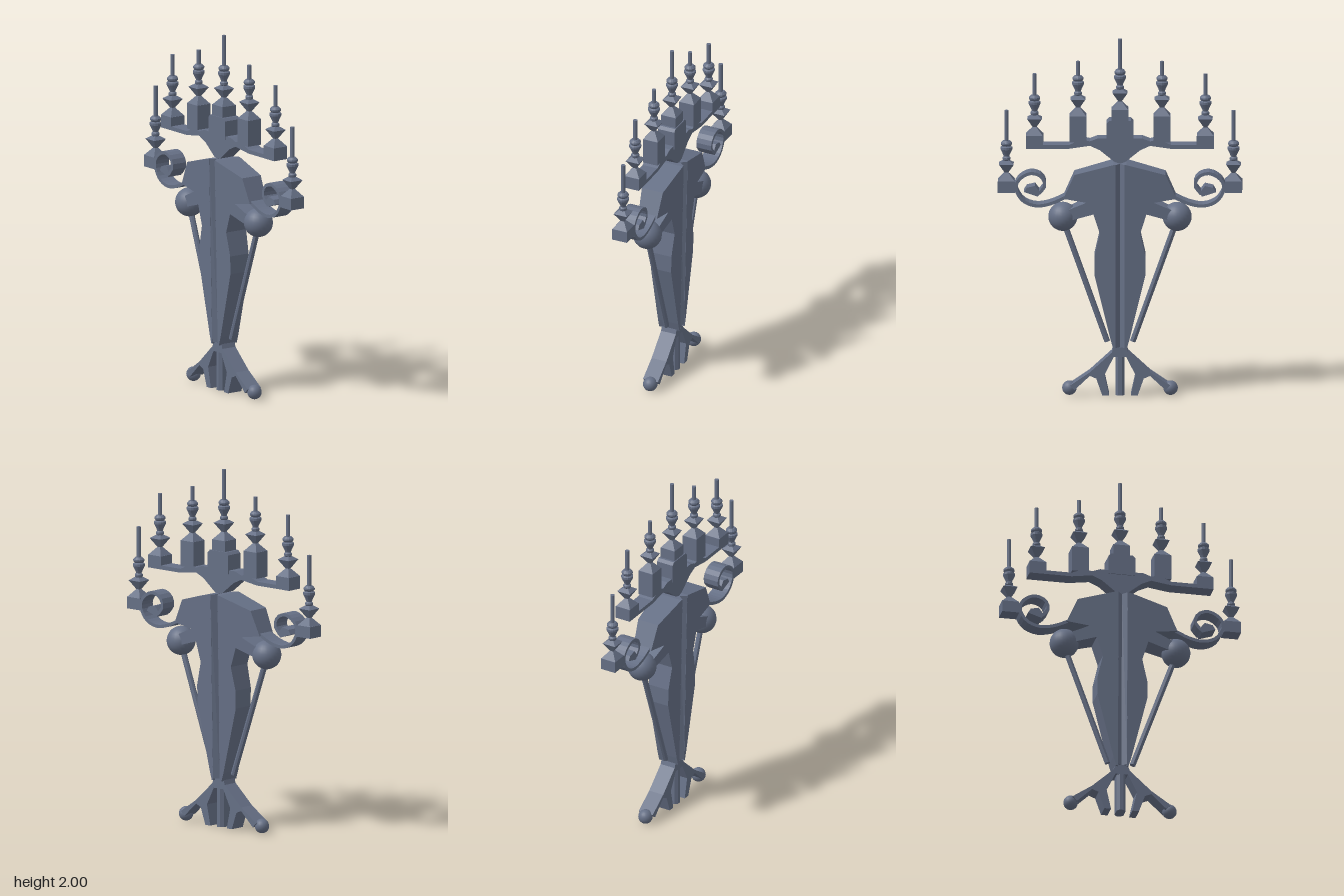
import * as THREE from 'three';

const flat = new THREE.MeshStandardMaterial({ color: 0x667086, flatShading: true });
const smooth = new THREE.MeshStandardMaterial({ color: 0x667086 });
const HALF = 0.045; // half depth of the flat metalwork

function add(parent, name, geometry, x = 0, y = 0, z = 0, material = flat) {
  const mesh = new THREE.Mesh(geometry, material);
  mesh.name = name;
  mesh.position.set(x, y, z);
  parent.add(mesh);
  return mesh;
}

// Outline extruded evenly to both sides of z = 0
function plate(points, half = HALF) {
  const shape = new THREE.Shape(points.map(([x, y]) => new THREE.Vector2(x, y)));
  return new THREE.ExtrudeGeometry(shape, { depth: 2 * half, bevelEnabled: false }).translate(0, 0, -half);
}

// Flat strip of constant thickness that follows a path
function ribbon(points, thickness) {
  const curve = new THREE.CatmullRomCurve3(points.map(([x, y]) => new THREE.Vector3(x, y, 0)));
  const outer = [], inner = [], n = 26;
  for (let i = 0; i <= n; i++) {
    const p = curve.getPointAt(i / n), t = curve.getTangentAt(i / n);
    const dx = -t.y * thickness / 2, dy = t.x * thickness / 2;
    outer.push([p.x + dx, p.y + dy]);
    inner.unshift([p.x - dx, p.y - dy]);
  }
  return plate([...outer, ...inner]);
}

function lathe(points, segments) {
  return new THREE.LatheGeometry(points.map(([r, y]) => new THREE.Vector2(r, y)), segments);
}

// Torso half depth: thickest at the centre top, thinner outwards and downwards
const torsoDepth = (x, y) => 0.083 - 0.08 * (Math.abs(x) - 0.025) - 0.02 * (1.31 - y);

function torsoHalf() {
  const g = plate([
    [0.025, 0.27], [0.035, 0.27], [0.05, 0.32], [0.14, 0.69], [0.14, 0.79], [0.11, 0.92], [0.145, 1.03],
    [0.28, 0.99], [0.31, 1.04], [0.185, 1.095], [0.31, 1.115], [0.25, 1.25], [0.035, 1.31], [0.025, 1.31],
  ]);
  const p = g.attributes.position;
  for (let i = 0; i < p.count; i++) p.setZ(i, Math.sign(p.getZ(i)) * torsoDepth(p.getX(i), p.getY(i)));
  g.computeVertexNormals();
  return g;
}

// Central spine with a V groove front and back
function spine() {
  const g = plate([
    [0.026, 0.083], [0, 0.05], [-0.026, 0.083], [-0.026, -0.083], [0, -0.05], [0.026, -0.083],
  ].reverse(), 0.515).rotateX(-Math.PI / 2).translate(0, 0.795, 0);
  const p = g.attributes.position;
  for (let i = 0; i < p.count; i++) p.setZ(i, p.getZ(i) * torsoDepth(0.025, p.getY(i)) / 0.083);
  g.computeVertexNormals();
  return g;
}

// Candle on a square holder, standing on height y
function candle(parent, x, bottom, y, top) {
  const g = new THREE.Group();
  g.name = 'candleHolder';
  g.position.set(x, y, 0);
  parent.add(g);
  add(g, 'holderBlock', new THREE.BoxGeometry(0.095, y - bottom, 0.09), 0, (bottom - y) / 2);
  const d = Math.SQRT2;
  add(g, 'squareWaist', lathe([
    [0.045 * d, 0], [0.01 * d, 0.042], [0.04 * d, 0.092], [0.012 * d, 0.112], [0, 0.112],
  ], 4).rotateY(Math.PI / 4));
  add(g, 'turnedCup', lathe([
    [0.012, 0.1], [0.022, 0.115], [0.022, 0.125], [0.015, 0.132], [0.02, 0.145], [0.033, 0.172],
    [0.033, 0.184], [0.024, 0.19], [0.031, 0.2], [0.031, 0.208], [0.02, 0.22], [0, 0.22],
  ], 14));
  const h = top - y - 0.2;
  add(g, 'candleRod', new THREE.CylinderGeometry(0.012, 0.012, h, 12), 0, 0.2 + h / 2, 0, smooth);
}

function buildSide() {
  const side = new THREE.Group();
  add(side, 'torsoHalf', torsoHalf());

  // Crown arm with its candles
  add(side, 'crownArm', plate([
    [0, 1.31], [0.03, 1.32], [0.11, 1.385], [0.165, 1.41], [0.28, 1.393], [0.515, 1.393], [0.515, 1.415],
    [0.28, 1.415], [0.21, 1.445], [0.165, 1.435], [0.12, 1.452], [0.075, 1.45], [0, 1.45],
  ]));
  candle(side, 0.23, 1.43, 1.575, 1.875);
  candle(side, 0.468, 1.394, 1.465, 1.805);
  candle(side, 0.622, 1.145, 1.21, 1.6);

  // Scroll reaching out from the shoulder and curling back
  add(side, 'scroll', ribbon([
    [0.29, 1.125], [0.38, 1.085], [0.46, 1.073], [0.53, 1.1], [0.568, 1.16], [0.565, 1.2],
    [0.535, 1.235], [0.485, 1.255], [0.43, 1.235], [0.412, 1.185], [0.445, 1.14],
  ], 0.018));
  add(side, 'scrollTip', plate([[0.435, 1.145], [0.45, 1.125], [0.525, 1.15], [0.51, 1.175], [0.465, 1.185]]));

  // Hand ball and slanted rod
  add(side, 'handBall', new THREE.SphereGeometry(0.08, 24, 16), 0.313, 1.005, 0, smooth);
  const a = new THREE.Vector3(0.31, 0.98, 0), b = new THREE.Vector3(0.07, 0.305, 0);
  const dir = a.clone().sub(b);
  const rod = add(side, 'slantedRod', new THREE.CylinderGeometry(0.016, 0.016, dir.length(), 8), 0.19, 0.6425);
  rod.quaternion.setFromUnitVectors(new THREE.Vector3(0, 1, 0), dir.normalize());

  // Forked leg with a ball foot
  add(side, 'leg', plate([
    [0, 0.225], [0.035, 0.225], [0.085, 0.125], [0.06, 0.01], [0.097, 0.01], [0.13, 0.105], [0.165, 0.12],
    [0.25, 0.04], [0.275, 0.065], [0.165, 0.14], [0.045, 0.25], [0.035, 0.28], [0, 0.28],
  ]));
  add(side, 'footBall', new THREE.SphereGeometry(0.04, 20, 14), 0.277, 0.045, 0, smooth);
  return side;
}

export function createModel() {
  const model = new THREE.Group();
  model.name = 'candelabrum';

  // The two sides match under a half turn
  const left = buildSide(), right = buildSide();
  left.name = 'leftSide';
  right.name = 'rightSide';
  right.rotation.y = Math.PI;
  model.add(left, right);

  add(model, 'spine', spine());
  // Centre block with chamfered shoulders
  add(model, 'centreBlock', plate([
    [-0.075, 1.43], [0.075, 1.43], [0.075, 1.535], [0.06, 1.55], [-0.06, 1.55], [-0.075, 1.535],
  ], 0.05));
  candle(model, 0, 1.54, 1.61, 2);

  // Centre foot post
  add(model, 'centrePost', plate([
    [0.025, -0.03], [0.025, 0.03], [0.01, 0.045], [-0.01, 0.045],
    [-0.025, 0.03], [-0.025, -0.03], [-0.01, -0.045], [0.01, -0.045],
  ], 0.11).rotateX(-Math.PI / 2).translate(0, 0.12, 0));
  return model;
}
